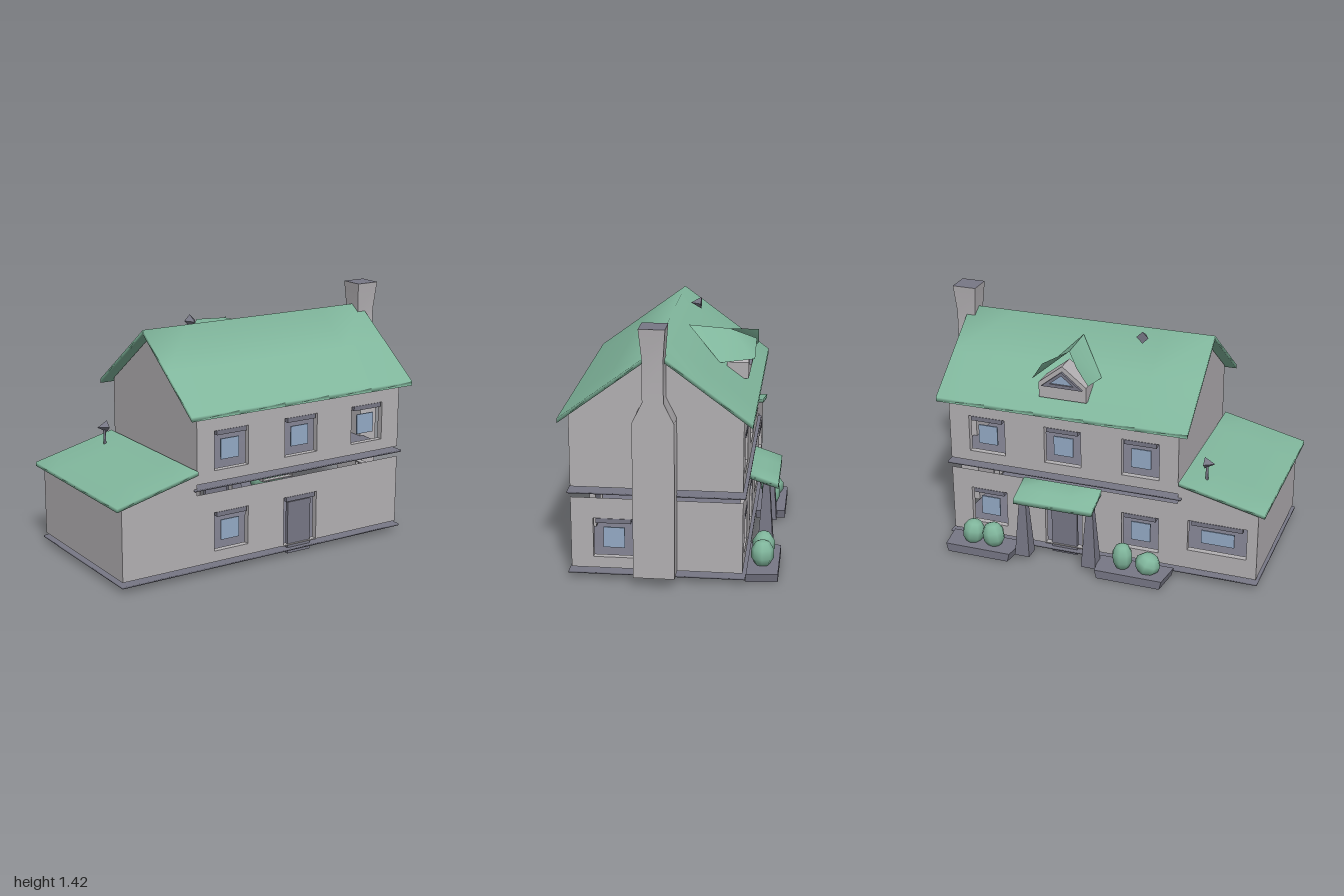
import * as THREE from 'three';
import { mergeVertices, toCreasedNormals } from 'three/addons/utils/BufferGeometryUtils.js';

const mat = (name, color, side = THREE.FrontSide) => {
  const m = new THREE.MeshStandardMaterial({ color, side });
  m.name = name;
  return m;
};

export function createModel() {
  const house = new THREE.Group();
  house.name = 'house';
  const plaster = mat('plaster', 0xb3b0b3);
  const green = mat('green', 0x80b69c, THREE.DoubleSide);
  const slate = mat('slate', 0x777785);
  const glass = mat('glass', 0x94aac6);

  const add = (parent, name, geo, material, x = 0, y = 0, z = 0) => {
    const m = new THREE.Mesh(geo, material);
    m.name = name;
    m.position.set(x, y, z);
    parent.add(m);
    return m;
  };

  // Slab with soft shared normals; lift(x, z) bends it vertically
  const slab = (x0, x1, z0, z1, h, sx, sz, lift) => {
    let g = new THREE.BoxGeometry(x1 - x0, h, z1 - z0, sx, 1, sz);
    g.translate((x0 + x1) / 2, 0, (z0 + z1) / 2);
    g.deleteAttribute('normal');
    g.deleteAttribute('uv');
    g = mergeVertices(g);
    const p = g.attributes.position;
    for (let i = 0; i < p.count; i++) p.setY(i, p.getY(i) + lift(p.getX(i), p.getZ(i)));
    g.computeVertexNormals();
    return g;
  };

  const rect = (Type, u, y, w, h) => {
    const s = new Type();
    s.moveTo(u - w / 2, y - h / 2);
    s.lineTo(u + w / 2, y - h / 2);
    s.lineTo(u + w / 2, y + h / 2);
    s.lineTo(u - w / 2, y + h / 2);
    s.closePath();
    return s;
  };

  // Window or door: reveal ring behind the wall, lintel, and pane or leaf
  const fill = (parent, [u, y, w, h, kind]) => {
    const ring = rect(THREE.Shape, u, y, w + 0.012, h + 0.012);
    ring.holes.push(rect(THREE.Path, u, y, w, h));
    add(parent, 'reveal', new THREE.ExtrudeGeometry(ring, { depth: 0.035, bevelEnabled: false }), plaster, 0, 0, -0.036);
    add(parent, 'lintel', new THREE.BoxGeometry(w * 0.86, 0.026, 0.03), slate, u, y + h / 2 - 0.013, -0.012);
    if (kind === 'door') {
      add(parent, 'door', new THREE.BoxGeometry(0.155, 0.305, 0.02), slate, u, 0.158, -0.02);
    } else {
      add(parent, 'windowPane', new THREE.BoxGeometry(kind === 'wide' ? 0.19 : 0.115, kind === 'wide' ? 0.08 : 0.115, 0.009), glass, u, y - 0.003, -0.02);
    }
  };

  // Flat wall facing +z, then turned about the house axis
  const wall = (name, points, openings, turn, dist) => {
    const g = new THREE.Group();
    g.name = name;
    g.rotation.y = turn;
    const face = new THREE.Group();
    face.position.z = dist;
    g.add(face);
    const shape = new THREE.Shape(points.map(([u, y]) => new THREE.Vector2(u, y)));
    openings.forEach(([u, y, w, h]) => shape.holes.push(rect(THREE.Path, u, y, w, h)));
    add(face, name + 'Face', new THREE.ShapeGeometry(shape), plaster);
    openings.forEach((o) => fill(face, o));
    house.add(g);
  };

  const box = (a, b, lo, hi) => [[a, lo], [b, lo], [b, hi], [a, hi]];
  const win = (u, y) => [u, y, 0.22, 0.222];
  const upper = (s) => [-0.28, 0.18, 0.64].map((x) => win(s * x, 0.693));
  const door = (u) => [u, 0.2035, 0.225, 0.283, 'door'];
  const lower = [[-0.96, 0.06], [0.87, 0.06], [0.87, 0.46], [-0.5, 0.46], [-0.5, 0.59], [-0.96, 0.47]];
  const flip = (pts) => pts.map(([u, y]) => [-u, y]).reverse();
  const gable = [[-0.53, 0.52], [0.39, 0.52], [0.39, 0.92], [-0.07, 1.26], [-0.53, 0.92]];

  // Lower storey with side wing
  wall('lowerFrontWall', lower, [win(-0.28, 0.233), door(0.18)], 0, 0.53);
  wall('lowerBackWall', flip(lower), [win(0.28, 0.233), win(-0.64, 0.233), door(-0.18), [0.73, 0.27, 0.34, 0.19, 'wide']], Math.PI, 0.39);
  wall('lowerLeftWall', box(-0.53, 0.39, 0.06, 0.46), [win(-0.3, 0.233)], Math.PI / 2, 0.87);
  wall('wingInnerWall', box(-0.53, 0.39, 0.06, 0.46), [], Math.PI / 2, -0.5);
  wall('wingOuterWall', box(-0.39, 0.53, 0.06, 0.47), [], -Math.PI / 2, 0.96);
  // Upper storey
  wall('upperFrontWall', box(-0.5, 0.87, 0.52, 0.92), upper(1), 0, 0.53);
  wall('upperBackWall', box(-0.87, 0.5, 0.52, 0.92), upper(-1), Math.PI, 0.39);
  wall('leftGable', gable, [], Math.PI / 2, 0.87);
  wall('rightGable', flip(gable), [], -Math.PI / 2, 0.5);

  // Dished foundation and storey band
  const dish = (cx, hw, depth) => (x, z) =>
    -depth * (1 - Math.max(Math.abs(x - cx) / hw, Math.abs(z - 0.07) / 0.475));
  add(house, 'foundation', slab(-0.97, 0.89, -0.405, 0.545, 0.01, 4, 4, dish(-0.04, 0.93, 0.03)), slate, 0, 0.036);
  add(house, 'storeyBand', slab(-0.52, 0.89, -0.405, 0.545, 0.01, 4, 4, dish(0.185, 0.705, 0.025)), slate, 0, 0.492);

  // Roofs
  add(house, 'mainRoof', slab(-0.56, 0.925, -0.44, 0.58, 0.025, 5, 4, (x, z) => -0.74 * Math.abs(z - 0.07)), green, 0, 1.278);
  add(house, 'wingRoof', slab(-1, -0.51, -0.415, 0.56, 0.022, 3, 4, (x) => (x + 1) * 0.24), green, 0, 0.475);
  add(house, 'porchRoof', slab(-0.05, 0.42, -0.555, -0.385, 0.03, 3, 2, (x, z) => (z + 0.385) * 0.34), green, 0, 0.45);

  // Chimney, shaped by rings of [y, x0, x1, z0, z1]
  const rings = [
    [0.06, 0.87, 0.985, -0.04, 0.18], [0.92, 0.87, 0.985, -0.04, 0.18],
    [1.03, 0.87, 0.985, 0.015, 0.125], [1.26, 0.872, 0.985, 0.015, 0.125], [1.42, 0.86, 1, 0.003, 0.14],
  ];
  const stack = new THREE.BoxGeometry(1, 1, 1, 1, 4, 1);
  const sp = stack.attributes.position;
  for (let i = 0; i < sp.count; i++) {
    const [y, x0, x1, z0, z1] = rings[Math.round((sp.getY(i) + 0.5) * 4)];
    sp.setXYZ(i, sp.getX(i) < 0 ? x0 : x1, y, sp.getZ(i) < 0 ? z0 : z1);
  }
  add(house, 'chimney', toCreasedNormals(stack, 0.6), [plaster, plaster, slate, slate, plaster, plaster]);

  // Dormer on the back slope: two hooded roof panels over a gabled front
  const dormer = new THREE.Group();
  dormer.name = 'dormer';
  dormer.position.x = 0.18;
  house.add(dormer);
  for (const s of [-1, 1]) {
    const g = new THREE.BufferGeometry();
    g.setAttribute('position', new THREE.Float32BufferAttribute([
      0, 1.24, -0.03, 0, 1.225, -0.26, s * 0.1, 1.2, -0.415,
      s * 0.165, 1.1, -0.41, s * 0.175, 1.075, -0.22,
    ], 3));
    g.setIndex(s > 0 ? [0, 4, 1, 1, 4, 3, 1, 3, 2] : [0, 1, 4, 1, 3, 4, 1, 2, 3]);
    g.computeVertexNormals();
    add(dormer, 'dormerRoof', g, green);
  }
  const front = new THREE.Shape([[-0.14, 0.98], [0.14, 0.98], [0.14, 1.07], [0, 1.18], [-0.14, 1.07]].map((p) => new THREE.Vector2(...p)));
  add(dormer, 'dormerWall', new THREE.ExtrudeGeometry(front, { depth: 0.12, bevelEnabled: false }), plaster, 0, 0, -0.375);
  const tri = (r) => new THREE.Shape([[-r, -r * 0.38], [r, -r * 0.38], [0, r * 0.42]].map((p) => new THREE.Vector2(...p)));
  const trim = tri(0.12);
  trim.holes.push(tri(0.07));
  add(dormer, 'dormerFrame', new THREE.ExtrudeGeometry(trim, { depth: 0.015, bevelEnabled: false }), slate, 0, 1.1, -0.391);
  add(dormer, 'dormerPane', new THREE.ExtrudeGeometry(tri(0.07), { depth: 0.006, bevelEnabled: false }), glass, 0, 1.1, -0.381);

  // Porch columns
  for (const x of [-0.02, 0.385]) {
    const c = new THREE.CylinderGeometry(0.025, 0.062, 0.38, 4);
    c.rotateY(Math.PI / 4);
    add(house, 'porchColumn', toCreasedNormals(c, 0.6), slate, x, 0.22, -0.487);
  }

  // Planters with bushes: [x, radius, top, lean]
  const planters = [
    [-0.27, [[-0.36, 0.075, 0.165, 0.35], [-0.21, 0.06, 0.205, 0]]],
    [0.645, [[0.58, 0.068, 0.19, -0.15], [0.705, 0.068, 0.19, 0.15]]],
  ];
  for (const [px, bushes] of planters) {
    const tray = new THREE.BoxGeometry(0.44, 0.05, 0.17);
    const tp = tray.attributes.position;
    for (let i = 0; i < tp.count; i++) {
      if (tp.getZ(i) < 0) tp.setX(i, tp.getX(i) * 0.9);
      if (tp.getY(i) < 0) tp.setX(i, tp.getX(i) * 0.94);
    }
    tray.computeVertexNormals();
    add(house, 'planter', tray, slate, px, 0.028, -0.492);
    for (const [x, r, top, lean] of bushes) {
      const h = (top - 0.035) / 2;
      const b = add(house, 'bush', new THREE.SphereGeometry(1, 8, 5), green, x, 0.035 + h, -0.487);
      b.scale.set(r, h, r * 0.95);
      b.rotation.z = lean;
    }
  }

  // Roof finials
  const tip = new THREE.ConeGeometry(0.035, 0.06, 4);
  tip.rotateZ(Math.PI / 2);
  const spike = toCreasedNormals(tip, 0.3);
  add(house, 'finial', spike, slate, -0.645, 0.675, -0.27);
  add(house, 'finialStem', new THREE.CylinderGeometry(0.008, 0.008, 0.1, 6), slate, -0.63, 0.61, -0.27);
  add(house, 'finial', spike, slate, -0.18, 1.28, -0.035).rotation.y = Math.PI / 2;

  return house;
}
